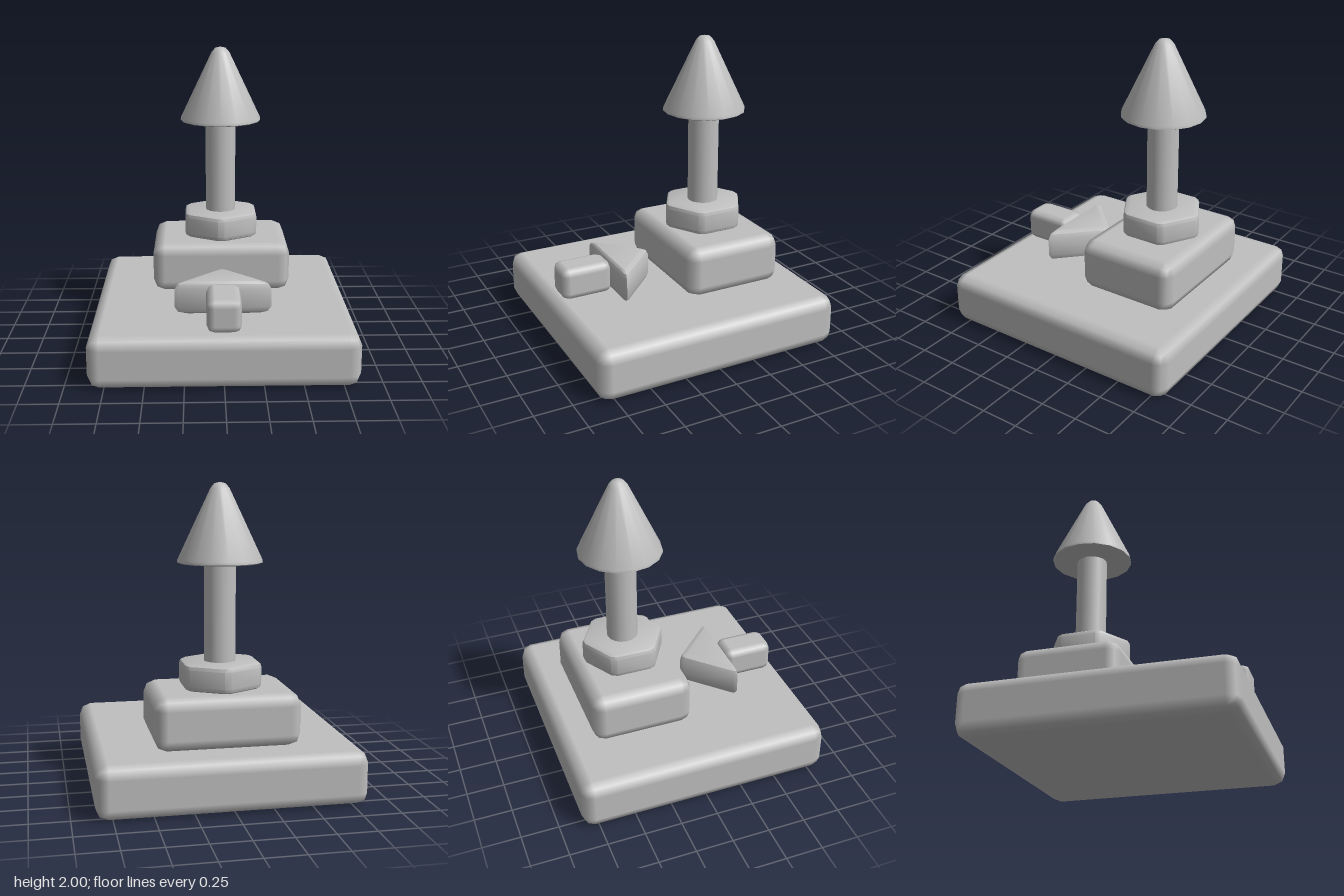
import * as THREE from 'three';
import { toCreasedNormals } from 'three/addons/utils/BufferGeometryUtils.js';
import { RoundedBoxGeometry } from 'three/addons/geometries/RoundedBoxGeometry.js';
import { ConvexGeometry } from 'three/addons/geometries/ConvexGeometry.js';

export function createModel() {
  const group = new THREE.Group();
  const grey = new THREE.MeshStandardMaterial({ color: 0xbfbfbf });
  grey.name = 'grey';

  const add = (name, geometry, x, y, z) => {
    const mesh = new THREE.Mesh(geometry, grey);
    mesh.name = name;
    mesh.position.set(x, y, z);
    group.add(mesh);
  };

  // Box with a softened edge, standing on height y
  const block = (name, w, h, d, r, y, z) =>
    add(name, new RoundedBoxGeometry(w, h, d, 1, r), 0, y + h / 2, z);

  // Convex prism whose top and bottom rims shrink towards its centre
  const softPrism = (outline, h, bevel, shrink) => {
    const levels = [
      [0, 1 - shrink], [bevel * 0.3, 1 - shrink * 0.3], [bevel, 1],
      [h - bevel, 1], [h - bevel * 0.3, 1 - shrink * 0.3], [h, 1 - shrink],
    ];
    const points = levels.flatMap(([y, s]) =>
      outline.map(([x, z]) => new THREE.Vector3(x * s, y, z * s)));
    return toCreasedNormals(new ConvexGeometry(points), 0.6);
  };

  // Stepped base
  block('base', 1.71, 0.345, 1.71, 0.08, 0, 0);
  block('plinth', 0.94, 0.345, 0.69, 0.08, 0.343, -0.305);

  // Hexagonal collar with slightly clipped corners
  const hexagon = [];
  for (let i = 0; i < 6; i++) {
    for (const offset of [-0.08, 0.08]) {
      const a = (i * Math.PI) / 3 + offset;
      hexagon.push([Math.sin(a) * 0.276, Math.cos(a) * 0.276]);
    }
  }
  add('collar', softPrism(hexagon, 0.17, 0.03, 0.09), 0, 0.688, -0.3);

  // Post
  add('post', new THREE.CylinderGeometry(0.104, 0.104, 0.66, 16), 0, 1.17, -0.3);

  // Cone with a blunt tip and a softened lower rim
  const profile = [
    [0, 1.49], [0.262, 1.49], [0.277, 1.497], [0.275, 1.515],
    [0.062, 1.962], [0.036, 1.992], [0, 2],
  ].map(([r, y]) => new THREE.Vector2(r, y));
  add('cone', toCreasedNormals(new THREE.LatheGeometry(profile, 16), 0.75), 0, 0, -0.3);

  // Arrow lying on the base, pointing to the plinth
  const triangle = [
    [-0.29, 0.08], [0.29, 0.08], [0.315, 0.07], [0.3, 0.045],
    [0.03, -0.22], [0, -0.235], [-0.03, -0.22], [-0.3, 0.045], [-0.315, 0.07],
  ];
  add('arrowHead', softPrism(triangle, 0.22, 0.05, 0.23), 0, 0.343, 0.36);
  block('arrowStem', 0.22, 0.22, 0.35, 0.05, 0.343, 0.615);

  return group;
}
